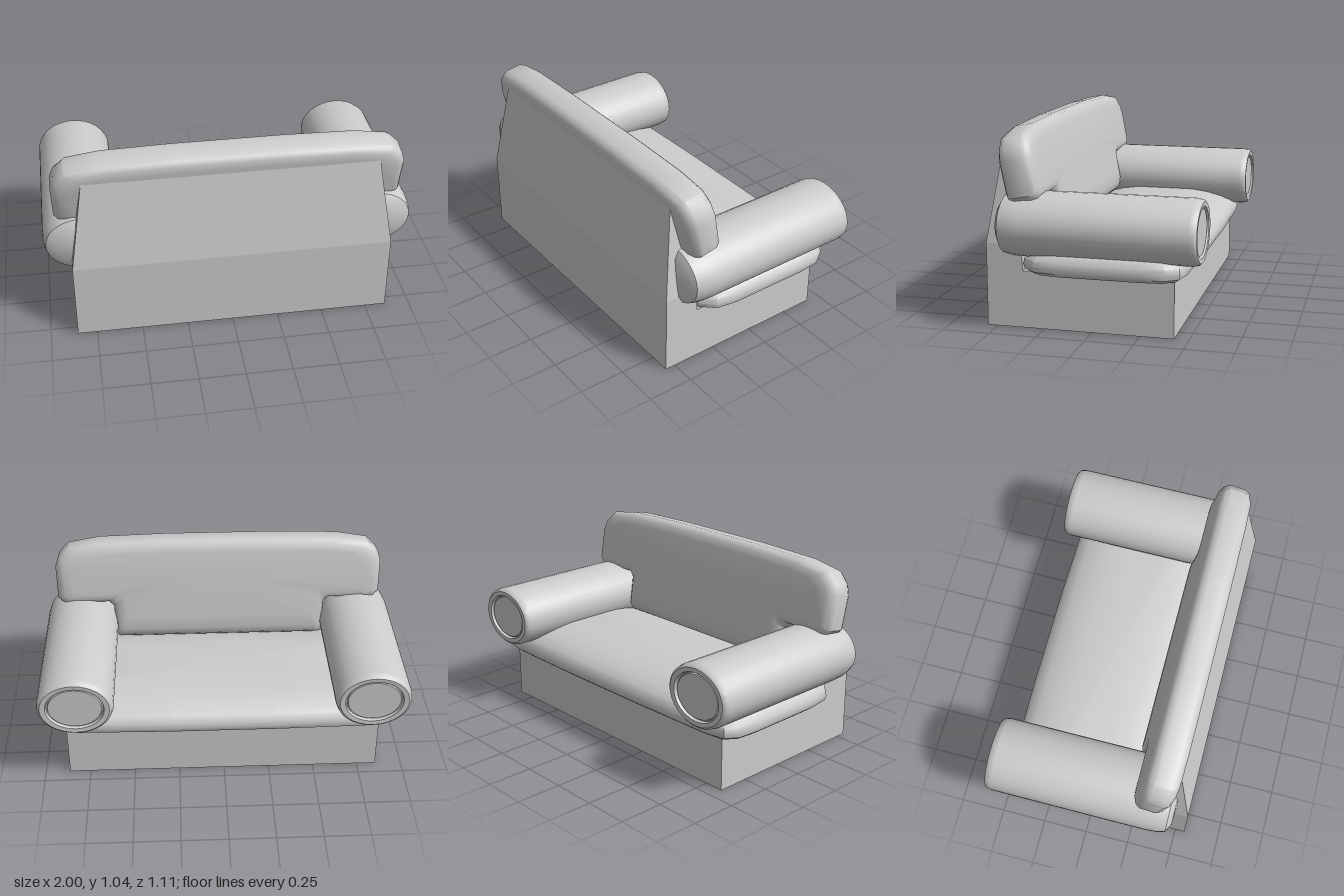
import * as THREE from 'three';
import { toCreasedNormals } from 'three/addons/utils/BufferGeometryUtils.js';

const material = new THREE.MeshStandardMaterial({ color: 0xcccccc });

function part(name, geometry) {
  const mesh = new THREE.Mesh(geometry, material);
  mesh.name = name;
  return mesh;
}

// Side profile of [z, y] points swept across the width; topScale narrows the upper end
function prism(profile, width, topScale = 1, topY = Infinity) {
  const shape = new THREE.Shape(profile.map(([z, y]) => new THREE.Vector2(z, y)));
  const geo = new THREE.ExtrudeGeometry(shape, { depth: width, bevelEnabled: false });
  geo.translate(0, 0, -width / 2).rotateY(-Math.PI / 2);
  const pos = geo.attributes.position;
  for (let i = 0; i < pos.count; i++) {
    if (pos.getY(i) > topY) pos.setX(i, pos.getX(i) * topScale);
  }
  geo.computeVertexNormals();
  return geo;
}

// Mirror a right-hand outline (bottom to top) into a closed counter-clockwise loop
const mirrored = half => [...half, ...half.map(([x, y]) => [-x, y]).reverse()];

// Padded cushion: the outline lofted through [inset, height] layers, closed by domed caps
function cushion(outline, [halfU, halfV], layers, lowCap, highCap) {
  const positions = [], index = [], n = outline.length;
  for (const [inset, w] of layers) {
    for (const [u, v] of outline) positions.push(u * (1 - inset / halfU), v * (1 - inset / halfV), w);
  }
  const low = n * layers.length, high = low + 1, last = n * (layers.length - 1);
  positions.push(0, 0, lowCap, 0, 0, highCap);
  for (let i = 0; i < n; i++) {
    const k = (i + 1) % n;
    for (let j = 0; j < layers.length - 1; j++) {
      const a = j * n + i, b = j * n + k;
      index.push(a, b, b + n, a, b + n, a + n);
    }
    index.push(low, k, i, high, last + i, last + k);
  }
  const geo = new THREE.BufferGeometry();
  geo.setAttribute('position', new THREE.Float32BufferAttribute(positions, 3));
  geo.setIndex(index);
  return geo;
}

export function createModel() {
  const sofa = new THREE.Group();
  sofa.name = 'sofa';

  // Plain box base and the tapered shell behind the back cushion
  const base = part('base', prism([[0.555, 0], [0.555, 0.435], [0.37, 0.435], [0.36, 0.3], [-0.425, 0.3], [-0.425, 0]], 1.72));
  const shell = part('backShell', prism([[0.555, 0.435], [0.48, 0.92], [0.42, 0.92], [0.37, 0.435]], 1.72, 0.91, 0.9));
  base.position.x = shell.position.x = 0.005;
  sofa.add(base, shell);

  // Seat cushion with rounded corners and a crowned top
  const seatOutline = mirrored([
    [0.3, -0.435], [0.75, -0.43], [0.87, -0.41], [0.935, -0.34], [0.953, -0.22],
    [0.955, 0.22], [0.945, 0.34], [0.9, 0.405], [0.8, 0.425], [0.3, 0.435],
  ]);
  const seatLayers = [
    [0.09, 0.29], [0.03, 0.295], [0.005, 0.315], [0, 0.34], [0.005, 0.37],
    [0.03, 0.4], [0.08, 0.43], [0.16, 0.455], [0.25, 0.47],
  ];
  const seat = cushion(seatOutline, [0.955, 0.435], seatLayers, 0.29, 0.48);
  seat.rotateX(-Math.PI / 2).translate(0, 0, -0.055);
  sofa.add(part('seatCushion', toCreasedNormals(seat, 0.7)));

  // Leaning back cushion, with ears resting on the arms
  const backOutline = mirrored([
    [0.58, -0.38], [0.6, -0.36], [0.61, -0.19], [0.64, -0.16], [0.9, -0.16], [0.93, -0.13],
    [0.935, 0.06], [0.915, 0.12], [0.86, 0.175], [0.68, 0.205], [0.3, 0.215],
  ]);
  const backLayers = [
    [0.1, -0.093], [0.045, -0.088], [0.015, -0.072], [0, -0.045],
    [0, 0.045], [0.015, 0.072], [0.045, 0.088], [0.1, 0.093],
  ];
  const back = cushion(backOutline, [0.935, 0.3], backLayers, -0.095, 0.095);
  back.rotateX(0.19).translate(0, 0.82, 0.367);
  sofa.add(part('backCushion', toCreasedNormals(back, 0.7)));

  // Oval bolster arms: recessed disc at the front end, rounded rear end
  const armProfile = [
    [0, -0.545], [0.142, -0.545], [0.146, -0.535], [0.152, -0.535], [0.157, -0.553],
    [0.185, -0.555], [0.198, -0.545], [0.205, -0.515], [0.205, 0.34], [0.2, 0.41],
    [0.188, 0.455], [0.14, 0.48], [0, 0.485],
  ].map(([r, z]) => new THREE.Vector2(r, z));
  for (const [side, name] of [[1, 'leftArm'], [-1, 'rightArm']]) {
    const arm = new THREE.LatheGeometry(armProfile, 32);
    arm.rotateX(Math.PI / 2).scale(1, 0.82, 1).translate(side * 0.795, 0.535, 0);
    sofa.add(part(name, toCreasedNormals(arm, 0.7)));
  }

  return sofa;
}
